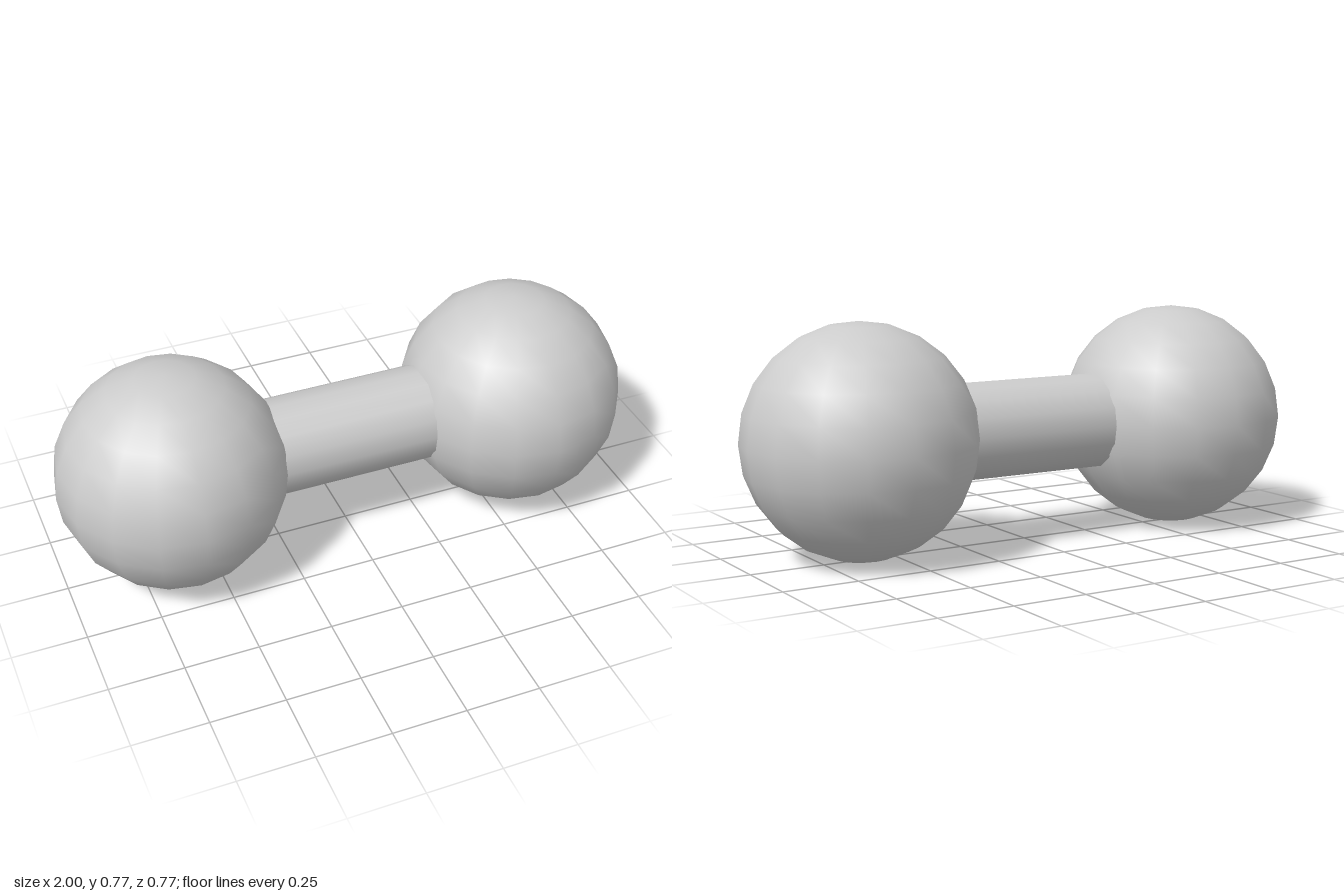
import * as THREE from 'three';

const BALL_RADIUS = 0.386;
const BALL_X = 1 - BALL_RADIUS;
const BAR_RADIUS = 0.164;

export function createModel() {
  const group = new THREE.Group();
  group.name = 'dumbbell';

  const grey = new THREE.MeshStandardMaterial({ color: 0xcccccc });
  grey.name = 'light grey';

  // Two round weights, one mirrored to each end
  const ballGeometry = new THREE.SphereGeometry(BALL_RADIUS, 16, 12);
  for (const [name, side] of [['leftWeight', 1], ['rightWeight', -1]]) {
    const ball = new THREE.Mesh(ballGeometry, grey);
    ball.name = name;
    ball.position.set(side * BALL_X, BALL_RADIUS, 0);
    group.add(ball);
  }

  // Handle bar, its ends buried in the weights
  const barGeometry = new THREE.CylinderGeometry(BAR_RADIUS, BAR_RADIUS, 2 * BALL_X, 16);
  barGeometry.rotateZ(Math.PI / 2);
  const bar = new THREE.Mesh(barGeometry, grey);
  bar.name = 'handle';
  bar.position.y = BALL_RADIUS;
  group.add(bar);

  return group;
}
